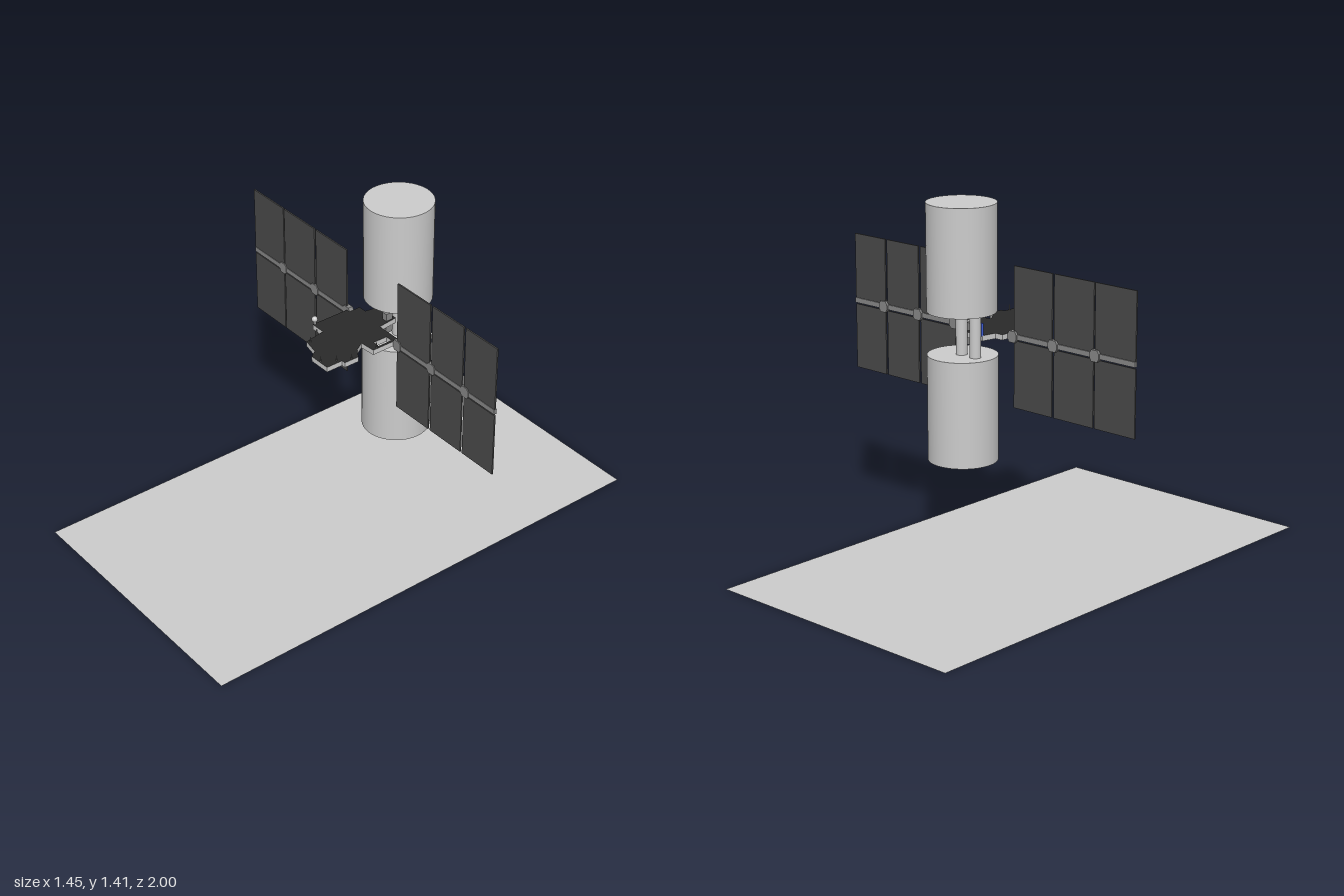
import * as THREE from 'three';

export function createModel() {
  const model = new THREE.Group();
  const mat = (color, side = THREE.FrontSide) => new THREE.MeshStandardMaterial({ color, side });
  const grey = mat(0xcccccc), panelDark = mat(0x4a4a4a), deckDark = mat(0x2a2a2a);
  const fitting = mat(0x888888), blue = mat(0x4060e0);

  function add(name, geometry, material, x, y, z, parent = model) {
    const mesh = new THREE.Mesh(geometry, material);
    mesh.name = name;
    mesh.position.set(x, y, z);
    parent.add(mesh);
    return mesh;
  }
  const box = (w, h, d) => new THREE.BoxGeometry(w, h, d);

  // Ground sheet
  const ground = add('ground', new THREE.PlaneGeometry(1.145, 2), mat(0xcccccc, THREE.DoubleSide), -0.112, 0, 0);
  ground.rotation.x = -Math.PI / 2;

  // Large upper and lower modules
  add('upperModule', new THREE.CylinderGeometry(0.134, 0.133, 0.415, 36), grey, 0.014, 1.207, -0.184);
  add('lowerModule', new THREE.CylinderGeometry(0.135, 0.135, 0.413, 36), grey, 0.015, 0.624, -0.179);

  // Twin columns joining the modules
  for (const x of [-0.053, 0.018]) {
    add('column', new THREE.CylinderGeometry(0.022, 0.022, 0.18, 20), grey, x, 0.915, -0.182);
  }
  add('blueHatch', box(0.038, 0.05, 0.012), blue, -0.05, 0.935, -0.16);

  // Solar wings: [left edge, right edge] of each panel pair
  const wings = [
    { name: 'rightWing', boom: [-0.727, -0.13], joints: [-0.54, -0.337, -0.135],
      panels: [[-0.727, -0.535], [-0.529, -0.337], [-0.328, -0.137]] },
    { name: 'leftWing', boom: [0.15, 0.72], joints: [0.17, 0.367, 0.557],
      panels: [[0.168, 0.356], [0.367, 0.541], [0.551, 0.72]] },
  ];
  // Six-sided joint outline, wide in the middle
  const jointShape = new THREE.Shape([
    [-0.022, 0.009], [-0.014, 0.022], [0.014, 0.022], [0.022, 0.009],
    [0.022, -0.009], [0.014, -0.022], [-0.014, -0.022], [-0.022, -0.009],
  ].map(p => new THREE.Vector2(...p)));
  const jointGeo = new THREE.ExtrudeGeometry(jointShape, { depth: 0.02, bevelEnabled: false });
  jointGeo.translate(0, 0, -0.01);

  for (const w of wings) {
    const wing = new THREE.Group();
    wing.name = w.name;
    model.add(wing);
    const [a, b] = w.boom;
    add('boom', box(b - a, 0.02, 0.012), fitting, (a + b) / 2, 0.903, -0.058, wing);
    for (const x of w.joints) add('joint', jointGeo, fitting, x, 0.903, -0.06, wing);
    for (const [x0, x1] of w.panels) {
      const width = x1 - x0, cx = (x0 + x1) / 2;
      add('upperPanel', box(width, 0.263, 0.006), panelDark, cx, 1.0435, -0.057, wing);
      add('lowerPanel', box(width, 0.263, 0.006), panelDark, cx, 0.7555, -0.057, wing);
    }
  }

  // Stepped docking deck, outlined in x and z, with a square opening
  const outline = [
    [-0.13, -0.055], [-0.115, -0.055], [-0.115, -0.1], [-0.08, -0.1], [-0.07, -0.16],
    [0.03, -0.16], [0.04, -0.075], [0.15, -0.075], [0.15, 0.045], [0.085, 0.05],
    [0.11, 0.09], [0.15, 0.115], [0.15, 0.18], [0.133, 0.18], [0.133, 0.25],
    [0.04, 0.25], [0.02, 0.22], [-0.05, 0.205], [-0.065, 0.135], [-0.065, 0.115], [-0.13, 0.115],
  ].map(p => new THREE.Vector2(...p));
  const deckShape = new THREE.Shape(outline);
  deckShape.holes.push(new THREE.Path([
    [0.11, -0.05], [0.11, 0.012], [0.14, 0.012], [0.14, -0.05],
  ].map(p => new THREE.Vector2(...p))));
  const deckGeo = new THREE.ExtrudeGeometry(deckShape, { depth: 0.021, bevelEnabled: false });
  deckGeo.rotateX(Math.PI / 2);
  add('deck', deckGeo, [deckDark, grey], 0, 0.913, 0);

  // Clamps above and below the deck, in front of the column
  for (const y of [0.93, 0.875]) add('clamp', box(0.022, 0.03, 0.03), fitting, 0.018, y, -0.13);

  // Short masts around the deck and a small dome
  const masts = [[-0.062, 0.15], [-0.035, 0.2], [0.09, 0.25], [0.123, 0.2], [0.148, 0.15], [0.148, 0.03]];
  for (const [x, z] of masts) {
    add('mast', box(0.003, 0.026, 0.003), fitting, x - 0.002, 0.924, z - 0.004);
  }
  add('dome', new THREE.SphereGeometry(0.012, 16, 12), grey, -0.128, 0.935, 0.107);
  add('domeStem', new THREE.CylinderGeometry(0.004, 0.004, 0.03, 8), grey, -0.126, 0.92, 0.107);

  return model;
}
